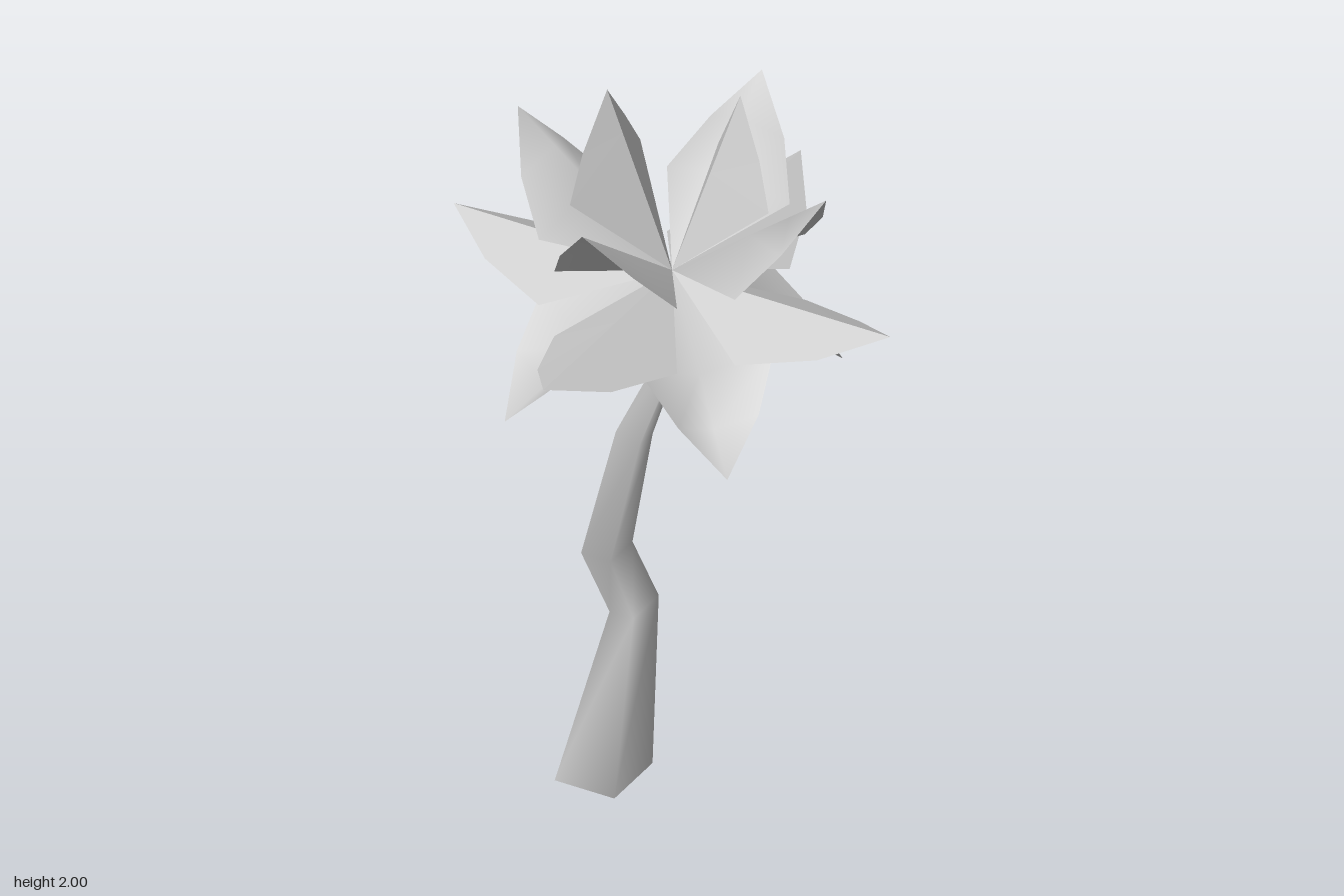
import * as THREE from 'three';

const CROWN_Y = 1.53;
const material = () => new THREE.MeshStandardMaterial({ color: 0xcccccc, side: THREE.DoubleSide });

// Folded leaf along +x: straight midrib, both edges lowered by the fold (raised if fold = -1)
function leafGeometry(length, fold, creased) {
  // [distance along rib, half width, drop]
  const rows = [[0.28, 0.175, 0.095], [0.76 * length, 0.105, 0.058]];
  const pos = [0, 0, 0];
  for (const [a, w, d] of rows) pos.push(a, -d * fold, -w, a, 0, 0, a, -d * fold, w);
  pos.push(length, 0, 0);
  const index = [
    0, 2, 1, 0, 3, 2,
    1, 2, 5, 1, 5, 4, 2, 3, 6, 2, 6, 5,
    4, 5, 7, 5, 6, 7,
  ];
  let geo = new THREE.BufferGeometry();
  geo.setAttribute('position', new THREE.Float32BufferAttribute(pos, 3));
  geo.setIndex(index);
  if (creased) geo = geo.toNonIndexed();
  geo.computeVertexNormals();
  return geo;
}

// Leaf from the crown to a tip given relative to the crown
function makeLeaf(name, tip, fold, creased) {
  const [x, y, z] = tip;
  const leaf = new THREE.Mesh(leafGeometry(Math.hypot(x, y, z), fold, creased), material());
  leaf.name = name;
  leaf.position.y = CROWN_Y;
  leaf.rotation.set(0, Math.atan2(-z, x), Math.atan2(y, Math.hypot(x, z)));
  return leaf;
}

// Four-sided crooked trunk tapering to a point at the crown
function makeTrunk() {
  // [left x, left y, right x, right y]
  const sections = [
    [-0.28, 0, -0.11, 0],
    [-0.142, 0.52, -0.074, 0.52],
    [-0.228, 0.66, -0.144, 0.66],
    [-0.142, 1.03, -0.074, 1.01],
    [-0.003, 1.33, 0.03, 1.31],
    [-0.001, CROWN_Y, 0.001, CROWN_Y],
  ];
  const pos = [];
  const index = [];
  const halfDepth = (y) => 0.094 * (1 - y / CROWN_Y) + 0.001;
  const addRing = ([lx, ly, rx, ry]) => {
    const l = halfDepth(ly), r = halfDepth(ry);
    pos.push(rx, ry, r, rx, ry, -r, lx, ly, -l, lx, ly, l);
  };
  // Separate ring for the flat underside
  addRing(sections[0]);
  index.push(0, 2, 1, 0, 3, 2);
  sections.forEach(addRing);
  for (let s = 1; s < sections.length; s++) {
    for (let i = 0; i < 4; i++) {
      const a = s * 4 + i, b = s * 4 + (i + 1) % 4;
      index.push(a, b, b + 4, a, b + 4, a + 4);
    }
  }
  const geo = new THREE.BufferGeometry();
  geo.setAttribute('position', new THREE.Float32BufferAttribute(pos, 3));
  geo.setIndex(index);
  geo.computeVertexNormals();
  const trunk = new THREE.Mesh(geo, material());
  trunk.name = 'trunk';
  return trunk;
}

export function createModel() {
  const model = new THREE.Group();
  model.name = 'palmTree';
  model.add(makeTrunk());

  const crown = new THREE.Group();
  crown.name = 'crown';
  model.add(crown);

  // Level and rising leaves along the four axes
  for (const [x, z] of [[1, 0], [0, 1], [-1, 0], [0, -1]]) {
    const reach = x ? 0.623 : 0.64;
    crown.add(makeLeaf('levelLeaf', [x * reach, 0, z * reach], 1, true));
    crown.add(makeLeaf('risingLeaf', [x * 0.44, 0.342, z * 0.447], 1, false));
  }

  // Drooping leaves between them, folded upward
  for (const [x, z] of [[0.327, 0.295], [-0.285, 0.335], [-0.322, -0.303], [0.295, -0.335]]) {
    crown.add(makeLeaf('droopingLeaf', [x, -0.35, z], -1, false));
  }

  // Two steep leaves at the top
  crown.add(makeLeaf('topLeaf', [-0.185, 0.47, 0], 1, true));
  crown.add(makeLeaf('topLeaf', [0.115, 0.47, -0.14], 1, true));

  return model;
}
